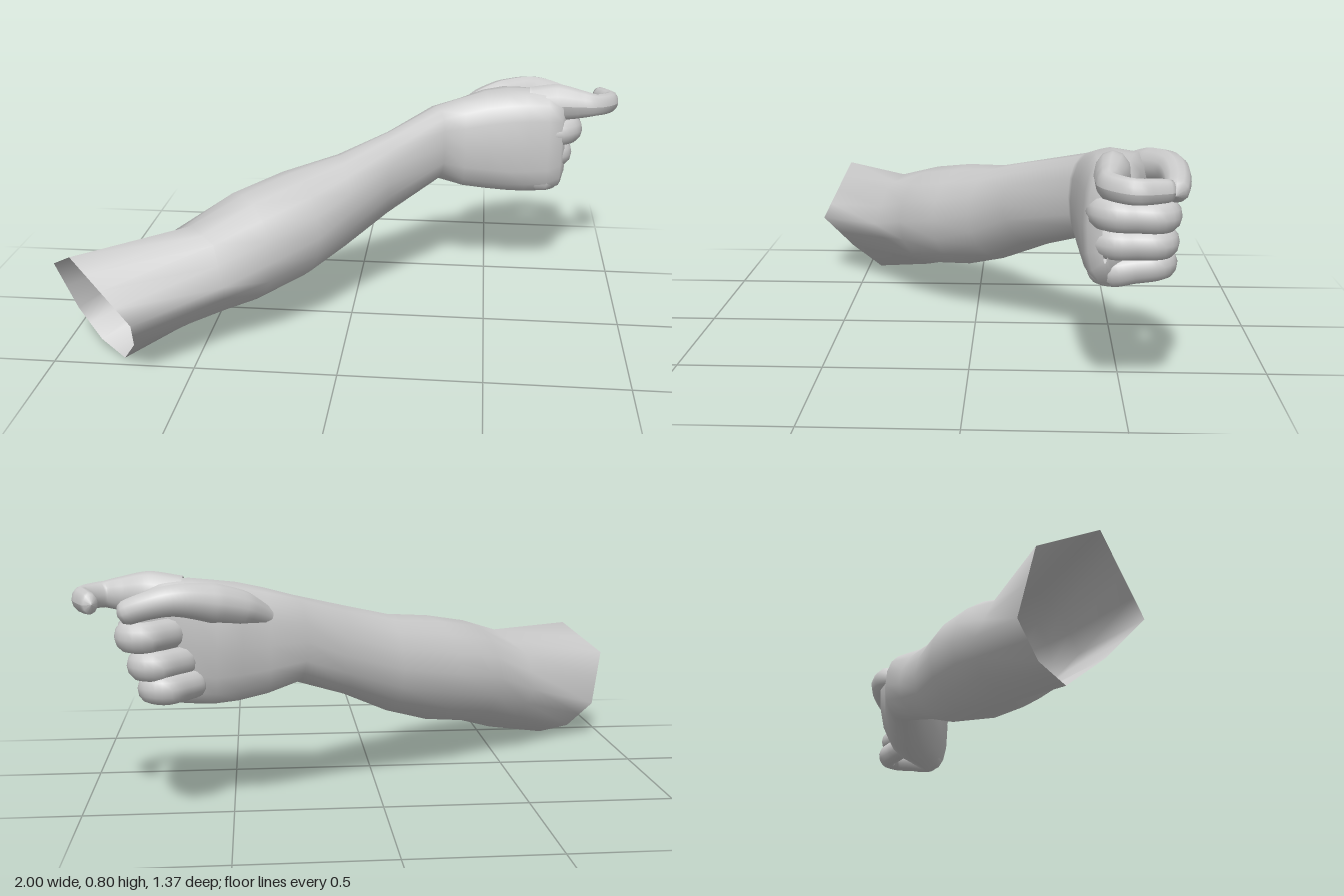
import * as THREE from 'three';

const SIDES = 16;
const V = (p) => new THREE.Vector3(...p);

// Oval ring from its left and right [x, z] edges, top and bottom heights;
// k < 1 makes it boxier, lean > 0 narrows the lower inner side and fills the upper one
function ring([lx, lz], [rx, rz], top, bottom, k = 1, lean = 0) {
  const pts = [];
  const soft = (v) => Math.sign(v) * Math.abs(v) ** k;
  for (let j = 0; j < SIDES; j++) {
    const a = (j / SIDES) * Math.PI * 2;
    const s = soft(Math.sin(a));
    let c = soft(Math.cos(a));
    if (c < 0) c *= 1 + lean * s;
    pts.push(new THREE.Vector3(
      (lx + rx) / 2 + ((rx - lx) / 2) * c,
      (top + bottom) / 2 + ((top - bottom) / 2) * s,
      (lz + rz) / 2 + ((rz - lz) / 2) * c));
  }
  return pts;
}

// Angular ring from eight corners, counted from the outer side over the top
function cornerRing(points) {
  const corners = points.map(V);
  return corners.flatMap((c, i) => [c, c.clone().lerp(corners[(i + 1) % 8], 0.5)]);
}

// Skin joining successive rings
function loft(rings) {
  const pos = [], index = [];
  rings.forEach((r) => r.forEach((p) => pos.push(p.x, p.y, p.z)));
  for (let i = 0; i < rings.length - 1; i++) {
    for (let j = 0; j < SIDES; j++) {
      const a = i * SIDES + j, b = i * SIDES + ((j + 1) % SIDES);
      index.push(a, a + SIDES, b, b, a + SIDES, b + SIDES);
    }
  }
  const g = new THREE.BufferGeometry();
  g.setAttribute('position', new THREE.Float32BufferAttribute(pos, 3));
  g.setIndex(index);
  g.computeVertexNormals();
  return g;
}

// Finger: tube along a curve with changing radius, rounded tip and optional extra height
function digit(points, radii, tall = 1) {
  const curve = new THREE.CatmullRomCurve3(points.map(V), false, 'centripetal');
  const n = 36, sides = 12;
  const g = new THREE.TubeGeometry(curve, n, 1, sides, false);
  const p = g.attributes.position, v = new THREE.Vector3();
  const len = curve.getLength();
  for (let i = 0; i <= n; i++) {
    const t = i / n, c = curve.getPointAt(t);
    const f = curve.getUtoTmapping(t) * (radii.length - 1);
    const k = Math.min(Math.floor(f), radii.length - 2);
    let r = THREE.MathUtils.lerp(radii[k], radii[k + 1], f - k);
    const end = Math.min(1, ((1 - t) * len) / (r * 0.9));
    r *= Math.sqrt(Math.max(0, 1 - (1 - end) ** 2));
    for (let j = 0; j <= sides; j++) {
      const id = i * (sides + 1) + j;
      v.fromBufferAttribute(p, id).sub(c).multiplyScalar(r);
      v.y *= tall;
      v.add(c);
      p.setXYZ(id, v.x, v.y, v.z);
    }
  }
  g.computeVertexNormals();
  return g;
}

export function createModel() {
  const model = new THREE.Group();
  model.name = 'arm';
  const skin = new THREE.MeshStandardMaterial({ color: 0xcccccc, side: THREE.DoubleSide });
  const add = (name, geometry) => {
    const m = new THREE.Mesh(geometry, skin);
    m.name = name;
    model.add(m);
  };

  // Slanted open rim of the upper arm
  const rim = cornerRing([
    [-0.66, 0.24, 0.68], [-0.77, 0.34, 0.635], [-0.88, 0.44, 0.59], [-1, 0.34, 0.42],
    [-0.95, 0.14, 0.35], [-0.86, 0.04, 0.39], [-0.76, 0, 0.45], [-0.69, 0.11, 0.56],
  ]);
  // Elbow, pointed on the outer side and flat below it
  const elbow = cornerRing([
    [-0.40, 0.28, 0.43], [-0.44, 0.415, 0.38], [-0.53, 0.46, 0.32], [-0.64, 0.38, 0.20],
    [-0.66, 0.25, 0.14], [-0.60, 0.14, 0.15], [-0.50, 0.085, 0.22], [-0.42, 0.155, 0.35],
  ]);

  // One skin from the rim over the elbow and wrist to the closed knuckles
  add('forearmAndPalm', loft([
    rim,
    elbow,
    ring([-0.50, 0.02], [-0.25, 0.31], 0.525, 0.128),
    ring([-0.33, -0.11], [-0.10, 0.17], 0.568, 0.17),
    ring([-0.10, -0.24], [0.0, 0.03], 0.597, 0.24),
    ring([0.10, -0.37], [0.13, -0.10], 0.65, 0.335),
    ring([0.25, -0.48], [0.33, -0.33], 0.712, 0.42, 0.85),
    ring([0.37, -0.525], [0.41, -0.335], 0.742, 0.385, 0.85),
    ring([0.46, -0.575], [0.50, -0.34], 0.765, 0.37, 0.8, 0.2),
    ring([0.54, -0.59], [0.58, -0.345], 0.775, 0.363, 0.75, 0.3),
    ring([0.61, -0.56], [0.65, -0.35], 0.78, 0.363, 0.75, 0.35),
    ring([0.70, -0.535], [0.73, -0.362], 0.778, 0.368, 0.75, 0.4),
    ring([0.775, -0.515], [0.78, -0.375], 0.77, 0.39, 0.8, 0.4),
    ring([0.80, -0.44], [0.795, -0.42], 0.70, 0.46),
  ]));

  // Thumb growing out of the upper inner side of the palm
  add('thumb', digit(
    [[0.38, 0.65, -0.48], [0.46, 0.69, -0.54], [0.55, 0.715, -0.587], [0.67, 0.732, -0.635],
      [0.76, 0.715, -0.643], [0.845, 0.685, -0.63]],
    [0.035, 0.057, 0.063, 0.05, 0.043, 0.038]));

  // Index finger reaching forward, hooked at the end
  add('indexFinger', digit(
    [[0.66, 0.71, -0.455], [0.76, 0.728, -0.448], [0.84, 0.728, -0.436], [0.905, 0.727, -0.433],
      [0.967, 0.724, -0.5], [0.95, 0.722, -0.555], [0.922, 0.72, -0.62]],
    [0.06, 0.058, 0.045, 0.033, 0.031, 0.03, 0.026], 1.3));

  // Three curled fingers below the index finger, the lowest rising to its middle joint
  [['middleFinger', 0.617, 0.86, -0.005], ['ringFinger', 0.52, 0.825, 0], ['littleFinger', 0.425, 0.795, 0.02]]
    .forEach(([name, y, x, rise], i) => {
      const r = 0.046 - i * 0.001;
      add(name, digit(
        [[0.69, y, -0.425], [x - 0.09, y, -0.418], [x - 0.046, y, -0.46], [x - 0.044, y + rise / 2, -0.52],
          [x - 0.046, y + rise, -0.595], [x - 0.09, y + rise, -0.618], [x - 0.15, y + rise, -0.56], [x - 0.2, y + rise, -0.5]],
        [r, r, r, r * 0.97, r * 0.95, r * 0.95, r * 0.95, r * 0.9], 1.15));
    });

  return model;
}
